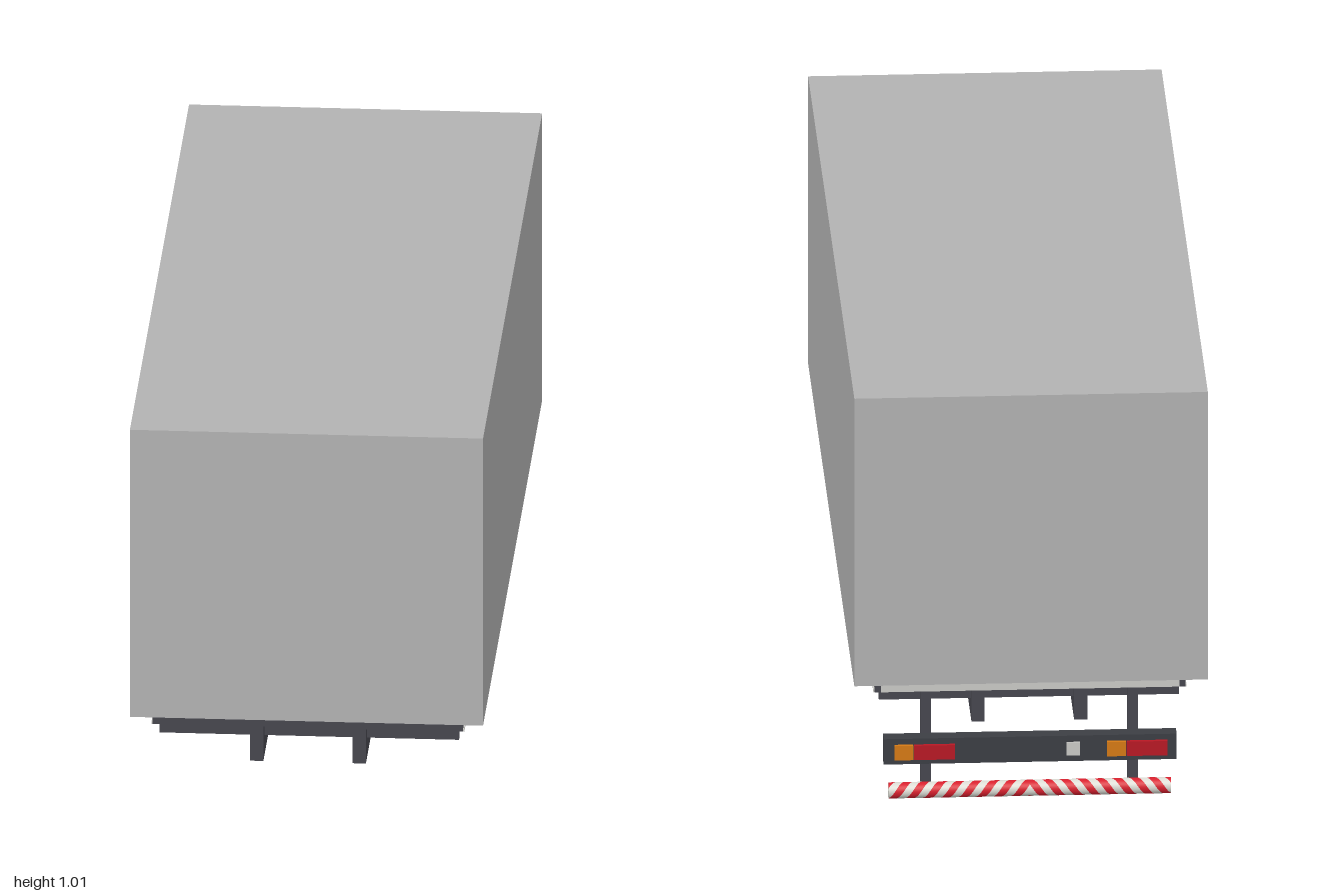
import * as THREE from 'three';

const mat = (name, color, side = THREE.FrontSide) => {
  const m = new THREE.MeshStandardMaterial({ color, side });
  m.name = name;
  return m;
};

// Half of the bumper tube: helical bands of one colour, clipped to the tube length
function helicalBands(parity, dir, length, radius) {
  const width = 0.02, steps = 32, pos = [], nor = [], idx = [];
  const clip = (x) => Math.min(length, Math.max(0, x));
  for (let k = -6; k < 20; k++) {
    if (Math.abs(k % 2) !== parity) continue;
    const base = pos.length / 3;
    for (let i = 0; i <= steps; i++) {
      const u = (i / steps) * Math.PI * 2;
      const shift = (0.04 * u) / Math.PI - 0.01;
      const y = -Math.cos(u), z = Math.sin(u);
      for (const e of [k, k + 1]) {
        pos.push(dir * clip(e * width + shift), y * radius, z * radius);
        nor.push(0, y, z);
      }
      if (i === steps) continue;
      const a = base + i * 2, b = a + 1, c = a + 2, d = a + 3;
      if (dir > 0) idx.push(a, b, c, b, d, c);
      else idx.push(a, c, b, b, c, d);
    }
  }
  const g = new THREE.BufferGeometry();
  g.setAttribute('position', new THREE.Float32BufferAttribute(pos, 3));
  g.setAttribute('normal', new THREE.Float32BufferAttribute(nor, 3));
  g.setIndex(idx);
  return g;
}

export function createModel() {
  const root = new THREE.Group();
  root.name = 'cargoBody';
  const body = mat('bodyGrey', 0xb2b2b2);
  const frame = mat('frameDark', 0x46464e);
  const beamDark = mat('bumperDark', 0x3c3e44);
  const light = mat('lightGrey', 0xcacac6);
  const amber = mat('amber', 0xd67a14);
  const red = mat('lampRed', 0xb81824);
  const stripeRed = mat('stripeRed', 0xd8202e, THREE.DoubleSide);
  const stripeWhite = mat('stripeWhite', 0xdcdcd4, THREE.DoubleSide);

  // Box given by its limits on each axis
  const box = (name, m, x0, x1, y0, y1, z0, z1, parent = root) => {
    const mesh = new THREE.Mesh(new THREE.BoxGeometry(x1 - x0, y1 - y0, z1 - z0), m);
    mesh.position.set((x0 + x1) / 2, (y0 + y1) / 2, (z0 + z1) / 2);
    mesh.name = name;
    parent.add(mesh);
    return mesh;
  };
  // Box repeated on both sides
  const pair = (name, m, x0, x1, ...rest) => {
    box(name + 'Left', m, x0, x1, ...rest);
    box(name + 'Right', m, -x1, -x0, ...rest);
  };

  // Cargo box and floor frame
  box('cargoBox', body, -0.403, 0.403, 0.302, 1.006, -1, 1);
  box('floorFrame', frame, -0.354, 0.354, 0.268, 0.302, -0.955, 0.955);

  // Light lips along the sides and the rear edge
  pair('sideLip', light, 0.343, 0.357, 0.266, 0.272, -0.95, 0.95);
  box('rearSill', light, -0.34, 0.34, 0.27, 0.298, -0.96, -0.955);

  // Upper side rail with small light clips
  pair('sideRail', frame, 0.354, 0.362, 0.287, 0.297, -0.95, 0.95);
  for (const z of [0.9, 0.55, 0.18, -0.18, -0.53, -0.89])
    pair('sideClip', light, 0.354, 0.364, 0.292, 0.301, z - 0.025, z + 0.025);

  // Amber side markers
  for (const z of [0.725, 0.205, -0.3, -0.8])
    pair('sideMarker', amber, 0.352, 0.362, 0.264, 0.281, z - 0.019, z + 0.019);

  // Cross members and the two chassis rails
  for (let i = 0; i < 12; i++) {
    const z = 0.9 - i * 0.163;
    box('crossMember', frame, -0.342, 0.342, 0.229, 0.268, z - 0.008, z + 0.008);
  }
  pair('chassisRail', frame, 0.102, 0.132, 0.18, 0.268, -0.925, 0.945);

  // Rear posts and light beam
  pair('bumperPost', frame, 0.224, 0.248, 0.028, 0.268, -0.925, -0.895);
  box('lightBeam', beamDark, -0.334, 0.334, 0.093, 0.155, -0.96, -0.925);
  for (const x of [0.31, -0.175]) {
    box('turnLamp', amber, x - 0.043, x, 0.106, 0.141, -0.969, -0.96);
    box('tailLamp', red, x - 0.138, x - 0.045, 0.106, 0.141, -0.969, -0.96);
  }
  box('plateLamp', light, -0.113, -0.083, 0.108, 0.14, -0.964, -0.96);

  // Striped bumper tube, mirrored at the centre
  const tube = new THREE.Group();
  tube.name = 'bumperTube';
  tube.position.set(0, 0.0185, -0.932);
  root.add(tube);
  const half = 0.322, radius = 0.0185;
  for (const dir of [1, -1]) {
    [stripeRed, stripeWhite].forEach((m, parity) => {
      const bands = new THREE.Mesh(helicalBands(parity, dir, half, radius), m);
      bands.name = parity ? 'whiteStripes' : 'redStripes';
      tube.add(bands);
    });
    const cap = new THREE.Mesh(new THREE.CircleGeometry(radius, 32), stripeWhite);
    cap.name = 'tubeCap';
    cap.rotation.y = (dir * Math.PI) / 2;
    cap.position.x = dir * half;
    tube.add(cap);
  }
  return root;
}
